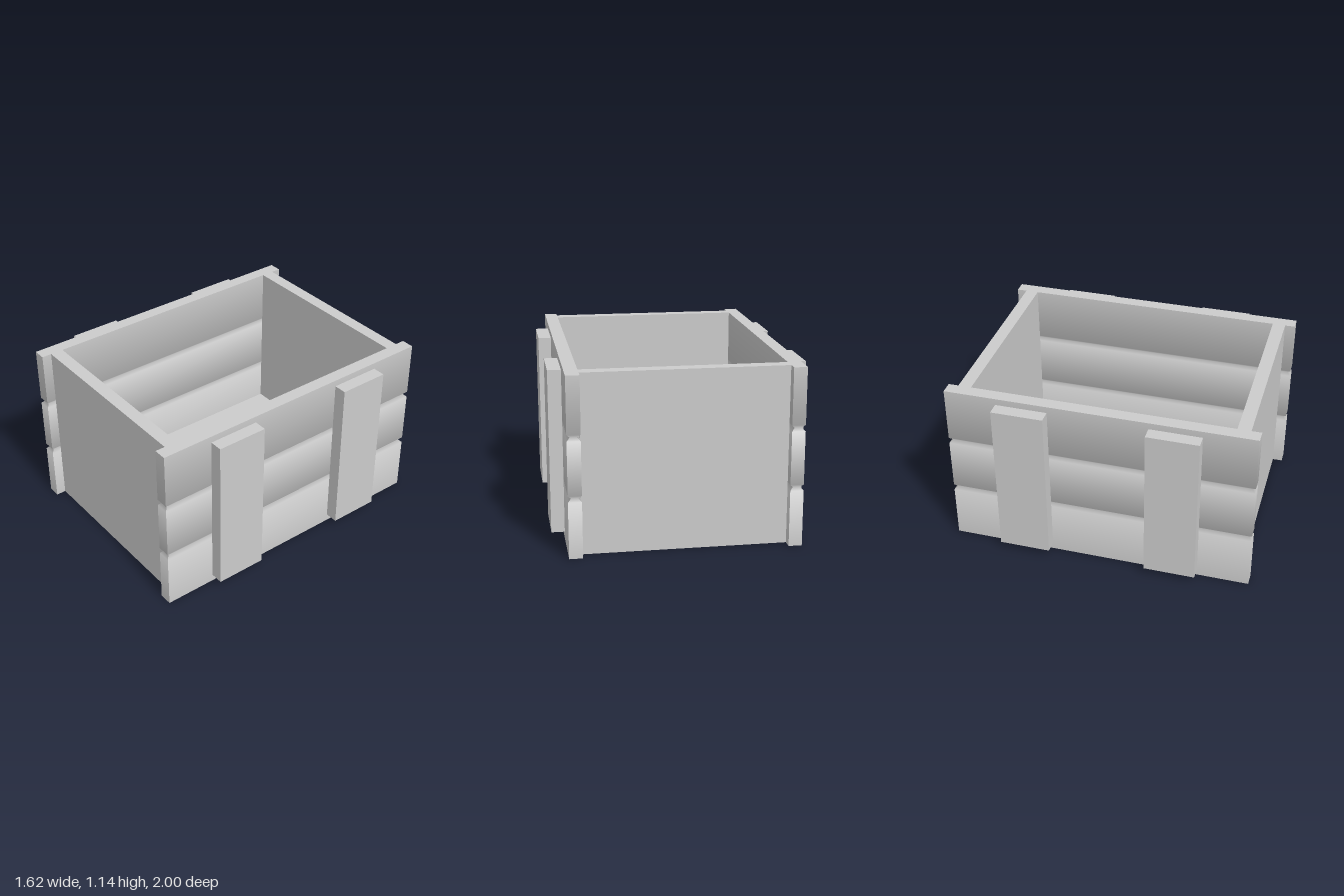
import * as THREE from 'three';

const HEIGHT = 1.143;
const BOARD = HEIGHT / 3;
const GROOVE = 0.02;

const material = new THREE.MeshStandardMaterial({ color: 0xcccccc });

function addBox(parent, name, [x0, x1], [y0, y1], [z0, z1]) {
  const mesh = new THREE.Mesh(new THREE.BoxGeometry(x1 - x0, y1 - y0, z1 - z0), material);
  mesh.position.set((x0 + x1) / 2, (y0 + y1) / 2, (z0 + z1) / 2);
  mesh.name = name;
  parent.add(mesh);
  return mesh;
}

// Plank wall: a rectangular column pinched in all round at each board joint.
// Normals run smoothly up each side and stay sharp at the corners.
function plankWallGeometry(hx, hz) {
  // Each level: height, inset, upward tilt of the normal
  const t = Math.PI / 8;
  const levels = [[0, 0, 0]];
  for (const y of [BOARD, BOARD * 2]) {
    levels.push([y - GROOVE, 0, t], [y, GROOVE, 0], [y + GROOVE, 0, -t]);
  }
  levels.push([HEIGHT, 0, 0]);

  const positions = [], normals = [], indices = [];
  const corners = [[1, 1], [1, -1], [-1, -1], [-1, 1]];

  // Four sides
  for (let s = 0; s < 4; s++) {
    const a = corners[s], b = corners[(s + 1) % 4];
    const nx = (a[0] + b[0]) / 2, nz = (a[1] + b[1]) / 2;
    const start = positions.length / 3;
    levels.forEach(([y, inset, tilt], i) => {
      for (const [cx, cz] of [a, b]) {
        positions.push(cx * (hx - inset), y, cz * (hz - inset));
        normals.push(nx * Math.cos(tilt), Math.sin(tilt), nz * Math.cos(tilt));
      }
      if (i > 0) {
        const k = start + (i - 1) * 2;
        indices.push(k, k + 1, k + 3, k, k + 3, k + 2);
      }
    });
  }

  // Top and bottom caps
  for (const up of [1, -1]) {
    const k = positions.length / 3;
    for (const [cx, cz] of corners) {
      positions.push(cx * hx, up > 0 ? HEIGHT : 0, cz * hz);
      normals.push(0, up, 0);
    }
    if (up > 0) indices.push(k, k + 1, k + 2, k, k + 2, k + 3);
    else indices.push(k, k + 2, k + 1, k, k + 3, k + 2);
  }

  const geometry = new THREE.BufferGeometry();
  geometry.setAttribute('position', new THREE.Float32BufferAttribute(positions, 3));
  geometry.setAttribute('normal', new THREE.Float32BufferAttribute(normals, 3));
  geometry.setIndex(indices);
  return geometry;
}

export function createModel() {
  const crate = new THREE.Group();
  crate.name = 'openCrate';

  const wallGeometry = plankWallGeometry(0.0425, 1);
  for (const side of [1, -1]) {
    const label = side > 0 ? 'left' : 'right';

    // Long grooved wall
    const wall = new THREE.Mesh(wallGeometry, material);
    wall.name = label + 'PlankWall';
    wall.position.x = side * 0.6845;
    crate.add(wall);

    // Two upright battens on the outside of the wall
    for (const end of [1, -1]) {
      const batten = addBox(crate, label + (end > 0 ? 'Front' : 'Back') + 'Batten',
        [0.727, 0.812], [0.048, 1.1], [0.323, 0.66]);
      batten.position.x *= side;
      batten.position.z *= end;
    }

    // Plain end wall, set in from the ends of the long walls
    const panel = addBox(crate, side > 0 ? 'frontPanel' : 'backPanel',
      [-0.642, 0.642], [0, HEIGHT], [0.85, 0.935]);
    panel.position.z *= side;
  }

  // Floor, raised a little above the bottom rim
  addBox(crate, 'floor', [-0.642, 0.642], [0.05, 0.1], [-0.85, 0.85]);
  return crate;
}
